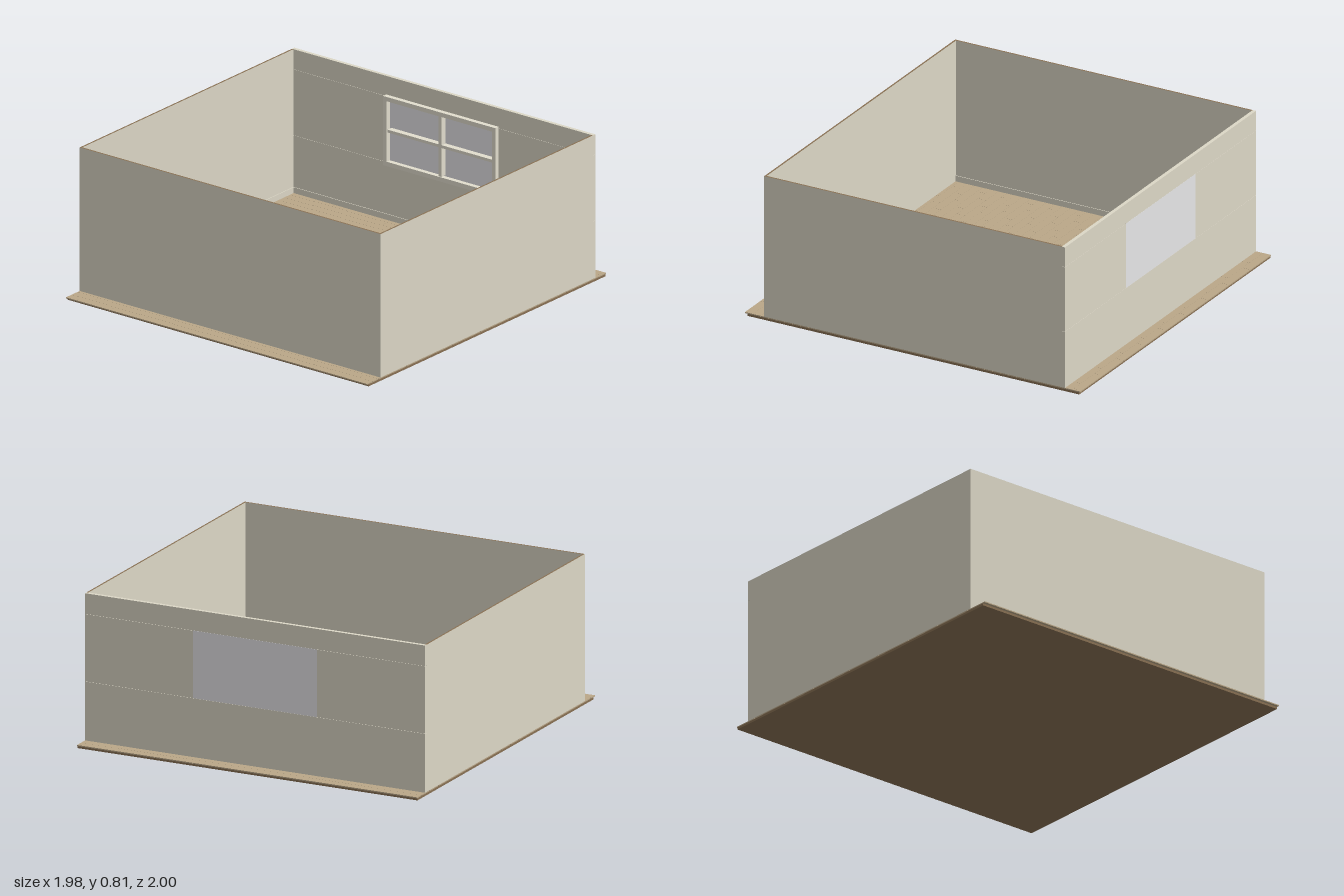
import * as THREE from 'three';
import { mergeGeometries } from 'three/addons/utils/BufferGeometryUtils.js';

const mat = (name, color) => {
  const m = new THREE.MeshStandardMaterial({ color });
  m.name = name;
  return m;
};

// Box given by its lower and upper limits on each axis
function boxGeo(x0, x1, y0, y1, z0, z1) {
  return new THREE.BoxGeometry(x1 - x0, y1 - y0, z1 - z0)
    .translate((x0 + x1) / 2, (y0 + y1) / 2, (z0 + z1) / 2);
}

export function createModel() {
  const room = new THREE.Group();
  room.name = 'room';
  const wall = mat('wall plaster', 0xdcd7c6);
  const wood = mat('floor wood', 0xbaa788);
  const brown = mat('brown', 0x897154);
  const trim = mat('window trim', 0xe2dece);
  const glass = mat('window glass', 0xe8e7e9);

  const add = (name, material, limits, parent = room) => {
    const mesh = new THREE.Mesh(boxGeo(...limits), material);
    mesh.name = name;
    parent.add(mesh);
  };

  const W = 0.99, floorY = 0.018, top = 0.815;
  const back = -0.91, backIn = -0.89, front = 0.885, t = 0.01;

  // Floor: brown base under staggered planks with hairline gaps
  add('floorBase', brown, [-W, W, 0, 0.012, -0.995, 0.985]);
  const rows = 42, pitch = 2 / rows, length = 0.2187, gap = 0.0008;
  const planks = [];
  for (let r = 0; r < rows; r++) {
    const z = -1 + r * pitch;
    const seam = 0.1 - (r % 3) * length / 3;
    for (let n = -6; n <= 5; n++) {
      const x0 = Math.max(-W, seam + n * length + gap / 2);
      const x1 = Math.min(W, seam + (n + 1) * length - gap / 2);
      if (x1 - x0 > 0.005) {
        planks.push(boxGeo(x0, x1, 0.012, floorY,
          r === 0 ? -1 : z + gap / 2, r === rows - 1 ? 1 : z + pitch - gap / 2));
      }
    }
  }
  const planking = new THREE.Mesh(mergeGeometries(planks), wood);
  planking.name = 'floorPlanks';
  room.add(planking);

  // Front and side walls with brown top edges
  const capped = [wall, wall, brown, wall, wall, wall];
  add('frontWall', capped, [-W, W, floorY, top, front - t, front]);
  for (const s of [-1, 1]) {
    const xs = [s * (W - t), s * W].sort((a, b) => a - b);
    add(s > 0 ? 'leftWall' : 'rightWall', capped, [...xs, floorY, top, backIn, front - t]);
  }

  // Back wall in courses around the window opening
  const ox = 0.36, oy0 = 0.337, oy1 = 0.703, g = 0.0005;
  add('backWallLower', wall, [-W, W, floorY, oy0 - g, back, backIn]);
  add('backWallUpper', wall, [-W, W, oy1 + g, top, back, backIn]);
  add('backWallRightPanel', wall, [-W, -ox, oy0 + g, oy1 - g, back, backIn]);
  add('backWallLeftPanel', wall, [ox, W, oy0 + g, oy1 - g, back, backIn]);

  // Skirting along the inside
  add('backSkirting', wall, [-W + t, W - t, floorY, 0.05, backIn, backIn + 0.004]);
  for (const s of [-1, 1]) {
    const xs = [s * (W - t - 0.004), s * (W - t)].sort((a, b) => a - b);
    add('sideSkirting', wall, [...xs, floorY, 0.05, backIn + 0.004, front - t]);
  }

  // Window: pane flush with the outside, frame and bars standing into the room
  const win = new THREE.Group();
  win.name = 'window';
  room.add(win);
  const fx = 0.37, fy0 = 0.328, fy1 = 0.712, f = 0.024;
  const zi = -0.863, zo = back + 0.006, mid = (fy0 + fy1) / 2;
  add('windowPane', glass, [-ox, ox, oy0, oy1, back, zo], win);
  add('frameTop', trim, [-fx, fx, fy1 - f, fy1, backIn, zi], win);
  add('frameBottom', trim, [-fx, fx, fy0, fy0 + f, backIn, zi], win);
  add('frameRight', trim, [-fx, -fx + f, fy0 + f, fy1 - f, backIn, zi], win);
  add('frameLeft', trim, [fx - f, fx, fy0 + f, fy1 - f, backIn, zi], win);
  add('verticalBar', trim, [-0.01, 0.01, fy0 + f, fy1 - f, zo, zi - 0.006], win);
  for (const s of [-1, 1]) {
    const xs = [s * 0.01, s * (fx - f)].sort((a, b) => a - b);
    add('crossBar', trim, [...xs, mid - 0.008, mid + 0.008, zo, zi - 0.008], win);
  }
  return room;
}
